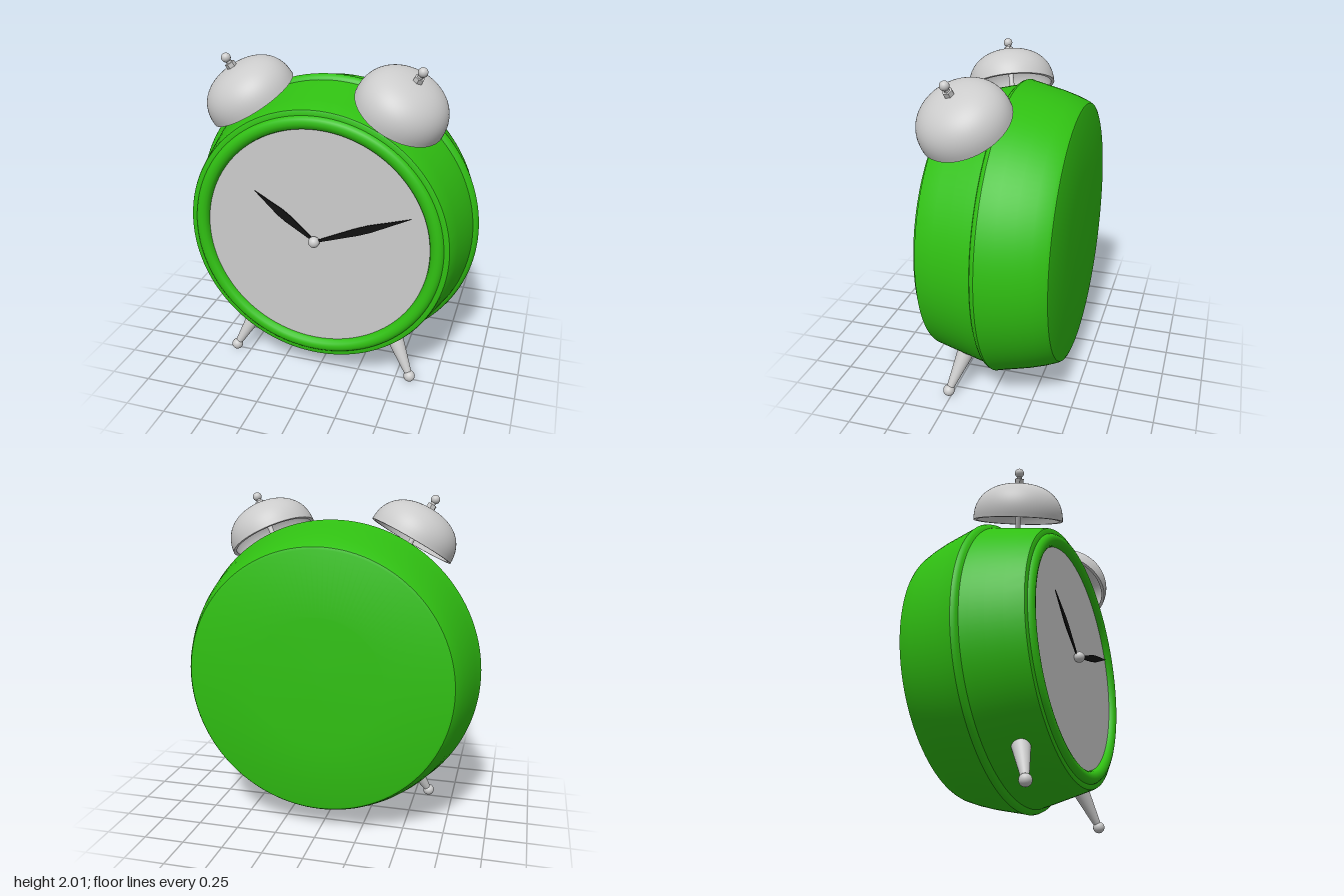
import * as THREE from 'three';
import { toCreasedNormals } from 'three/addons/utils/BufferGeometryUtils.js';

const grey = new THREE.MeshStandardMaterial({ color: 0xcccccc });
const green = new THREE.MeshStandardMaterial({ color: 0x30c012 });
const black = new THREE.MeshStandardMaterial({ color: 0x111111 });
const UP = new THREE.Vector3(0, 1, 0);
const CENTRE_Y = 0.95;

function add(parent, name, geometry, material, x = 0, y = 0, z = 0) {
  const mesh = new THREE.Mesh(geometry, material);
  mesh.name = name;
  mesh.position.set(x, y, z);
  parent.add(mesh);
  return mesh;
}

function lathe(points, segments, crease = 0.55) {
  const profile = points.map(([r, y]) => new THREE.Vector2(r, y));
  return toCreasedNormals(new THREE.LatheGeometry(profile, segments), crease);
}

// Flat pointed clock hand, widest at the middle
function hand(parent, name, tipX, tipY, width, z) {
  const length = Math.hypot(tipX, tipY);
  const shape = new THREE.Shape([
    new THREE.Vector2(0, -0.006),
    new THREE.Vector2(length * 0.45, -width / 2),
    new THREE.Vector2(length * 0.58, -width / 2),
    new THREE.Vector2(length, 0),
    new THREE.Vector2(length * 0.58, width / 2),
    new THREE.Vector2(length * 0.45, width / 2),
    new THREE.Vector2(0, 0.006),
  ]);
  const geometry = new THREE.ExtrudeGeometry(shape, { depth: 0.006, bevelEnabled: false });
  add(parent, name, geometry, black, 0, CENTRE_Y, z).rotation.z = Math.atan2(tipY, tipX);
}

// Dome profile: outer or inner quarter curve from rim to crown
function dome(radius, height, steps = 20) {
  return Array.from({ length: steps + 1 }, (_, i) => {
    const a = (i / steps) * Math.PI / 2;
    const p = 2 / 2.3;
    return [radius * Math.max(0, Math.cos(a)) ** p, height * Math.sin(a) ** p];
  });
}

function bell(side) {
  const group = new THREE.Group();
  group.name = side > 0 ? 'leftBell' : 'rightBell';
  const shell = [...dome(0.255, 0.205).reverse(), ...dome(0.276, 0.226)];
  add(group, 'bellShell', lathe(shell, 64), grey);
  add(group, 'bellStem', new THREE.CylinderGeometry(0.016, 0.016, 0.4, 20), grey, 0, 0.08, 0);
  const nut = new THREE.CylinderGeometry(0.03, 0.03, 0.03, 6).toNonIndexed();
  nut.computeVertexNormals();
  add(group, 'bellNut', nut, grey, 0, 0.238, 0);
  add(group, 'bellKnob', new THREE.SphereGeometry(0.028, 24, 16), grey, 0, 0.288, 0);
  group.position.set(side * 0.443, 1.73, 0.155);
  group.quaternion.setFromUnitVectors(UP, new THREE.Vector3(side * 0.456, 0.86, 0.228).normalize());
  return group;
}

function leg(side) {
  const group = new THREE.Group();
  group.name = side > 0 ? 'leftLeg' : 'rightLeg';
  const foot = new THREE.Vector3(side * 0.592, 0.036, 0.265);
  const top = new THREE.Vector3(side * 0.473, 0.258, 0.19);
  const length = foot.distanceTo(top);
  add(group, 'legShaft', new THREE.CylinderGeometry(0.053, 0.02, length, 32), grey, 0, length / 2, 0);
  add(group, 'foot', new THREE.SphereGeometry(0.036, 28, 18), grey);
  group.position.copy(foot);
  group.quaternion.setFromUnitVectors(UP, top.clone().sub(foot).normalize());
  return group;
}

export function createModel() {
  const clock = new THREE.Group();
  clock.name = 'alarmClock';

  // Case: slightly domed back, wide shoulder, tapering front and rounded rim
  const caseProfile = [
    [0, -0.435], [0.4, -0.428], [0.785, -0.413], [0.8, -0.408], [0.812, -0.39],
    [0.84, -0.32], [0.868, -0.23], [0.892, -0.13], [0.912, -0.045], [0.917, -0.03],
    [0.912, -0.015], [0.9, -0.003], [0.886, 0.004], [0.874, 0.06], [0.855, 0.14],
    [0.832, 0.24], [0.808, 0.34], [0.803, 0.35], [0.793, 0.354], [0.772, 0.355],
    [0.768, 0.364], [0.757, 0.376], [0.742, 0.382], [0.725, 0.382],
    [0.708, 0.376], [0.696, 0.364], [0.69, 0.345], [0.69, 0.33],
  ];
  add(clock, 'case', lathe(caseProfile, 128), green, 0, CENTRE_Y, 0).rotation.x = Math.PI / 2;

  // Dial, hands and centre hub
  add(clock, 'dial', new THREE.CircleGeometry(0.695, 96), grey, 0, CENTRE_Y, 0.345);
  hand(clock, 'hourHand', -0.37, 0.28, 0.052, 0.36);
  hand(clock, 'minuteHand', 0.58, 0.23, 0.046, 0.368);
  add(clock, 'hub', new THREE.SphereGeometry(0.034, 28, 18), grey, 0, CENTRE_Y, 0.374);

  // Paired bells and legs
  for (const side of [-1, 1]) clock.add(bell(side), leg(side));
  return clock;
}
